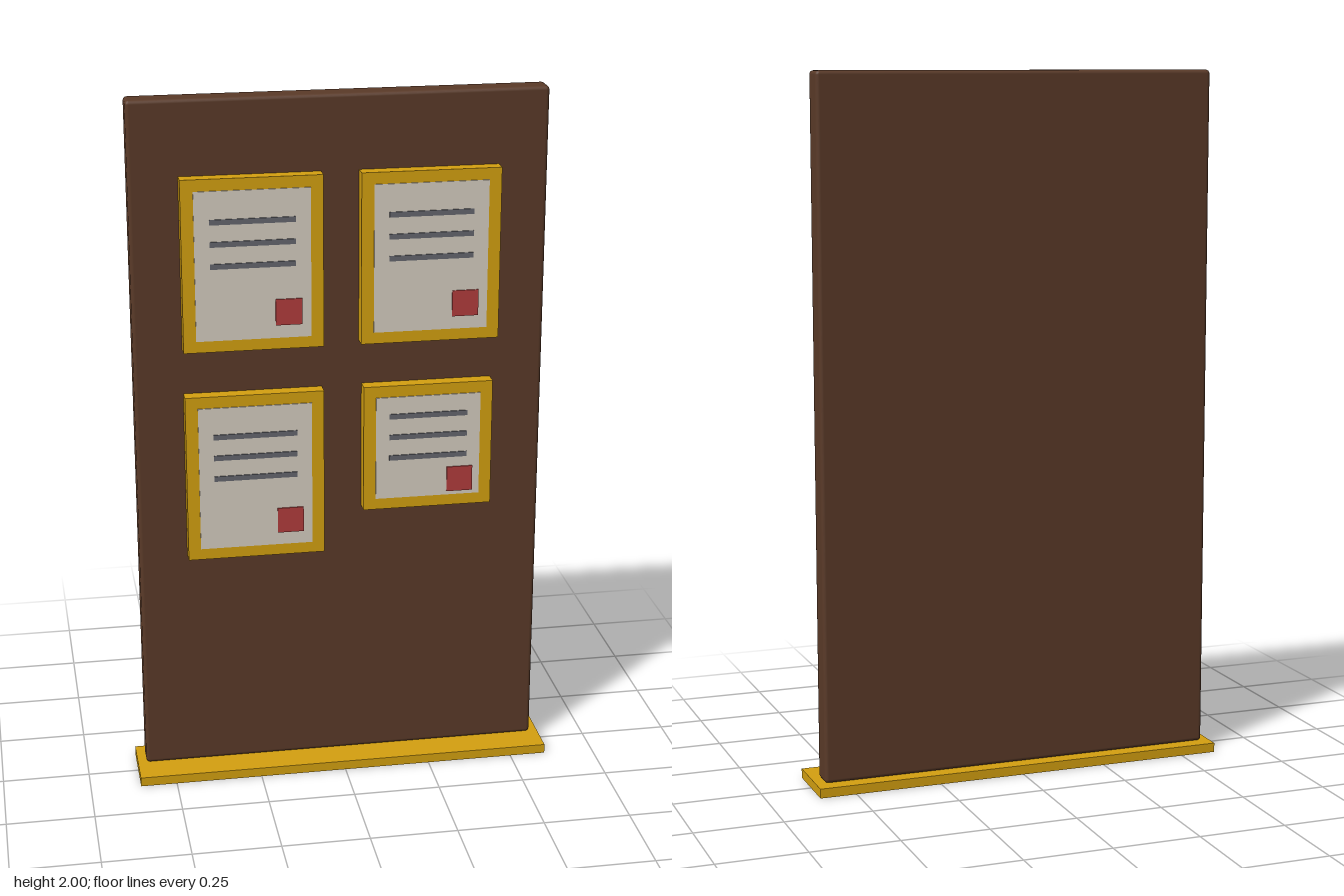
import * as THREE from 'three';
import { RoundedBoxGeometry } from 'three/addons/geometries/RoundedBoxGeometry.js';

const mat = (color) => new THREE.MeshStandardMaterial({ color });

export function createModel() {
  const root = new THREE.Group();
  root.name = 'displayBoard';
  const wood = mat(0x5a3a28), gold = mat(0xd4a010), paper = mat(0xd5cdc0);
  const ink = mat(0x64666e), red = mat(0xb23c3c);

  // Box whose z extent runs from z0 to z1
  const slab = (parent, name, material, w, h, x, y, z0, z1) => {
    const mesh = new THREE.Mesh(new THREE.BoxGeometry(w, h, z1 - z0), material);
    mesh.position.set(x, y, (z0 + z1) / 2);
    mesh.name = name;
    parent.add(mesh);
  };

  // Flat gold foot
  slab(root, 'base', gold, 1.21, 0.027, 0, 0.0135, -0.098, 0.098);

  // Upright panel with slightly softened edges
  const panel = new THREE.Mesh(new RoundedBoxGeometry(1.16, 1.973, 0.071, 2, 0.011), wood);
  panel.position.set(0, 1.0135, -0.0255);
  panel.name = 'panel';
  root.add(panel);

  // Framed certificate: frame, sheet, three text bars and a seal
  const certificate = (x, y, w, h) => {
    const g = new THREE.Group();
    g.name = 'certificate';
    g.position.set(x, y, 0);
    slab(g, 'frame', gold, w, h, 0, 0, 0, 0.051);
    slab(g, 'sheet', paper, w - 0.07, h - 0.066, 0, 0, 0.045, 0.054);
    for (let i = 0; i < 3; i++) {
      slab(g, 'textBar', ink, w * 0.605, 0.015, 0, h * 0.256 - i * 0.062, 0.05, 0.057);
    }
    slab(g, 'seal', red, 0.074, 0.074, w * 0.25, -h * 0.28, 0.05, 0.058);
    root.add(g);
  };
  certificate(-0.249, 1.546, 0.39, 0.487);
  certificate(0.246, 1.546, 0.39, 0.487);
  certificate(-0.249, 0.929, 0.39, 0.487);
  certificate(0.244, 0.99, 0.37, 0.37);

  return root;
}
